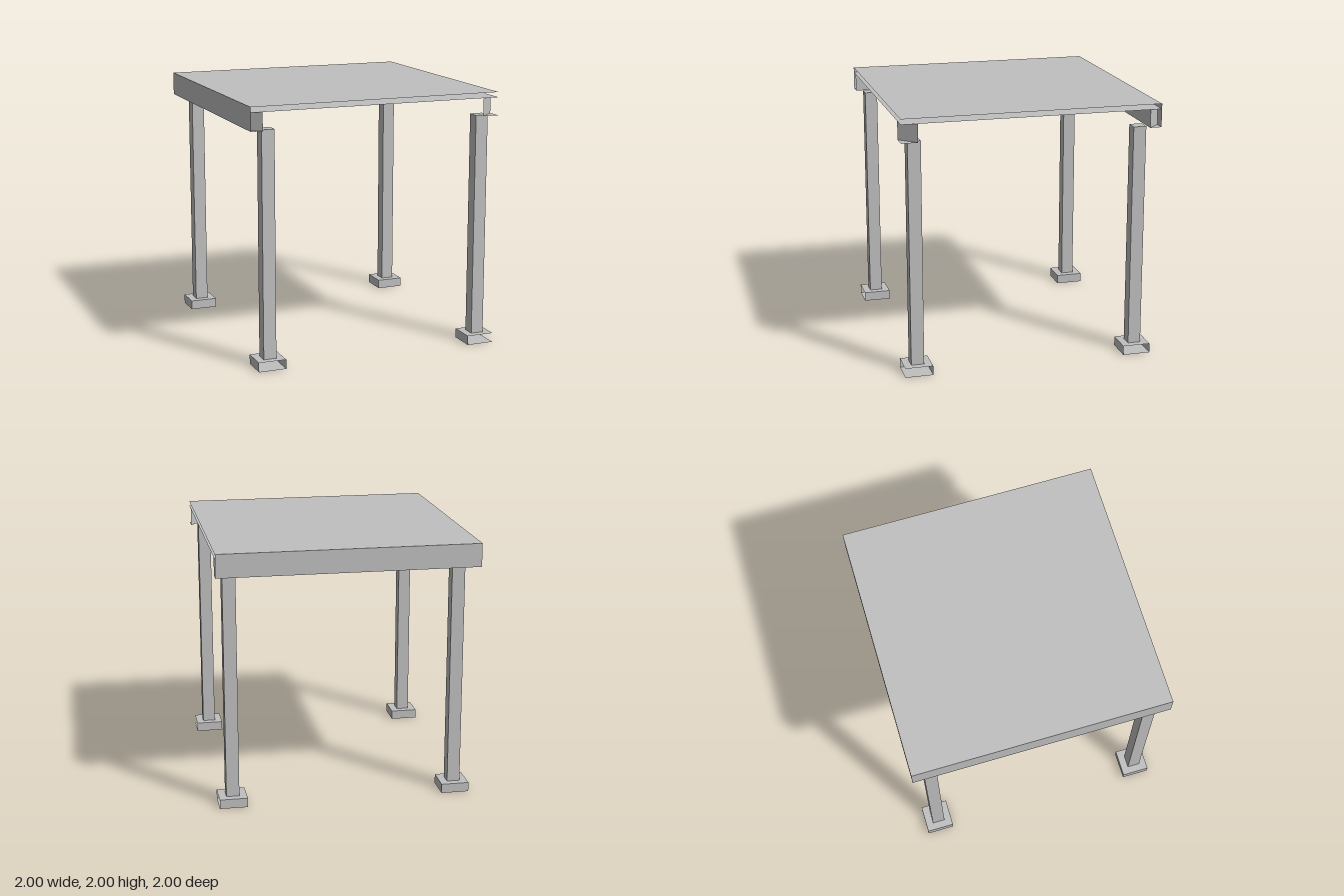
import * as THREE from 'three';

const grey = new THREE.MeshStandardMaterial({ color: 0xc0c0c0, side: THREE.DoubleSide });
grey.name = 'plain grey';

const SIDES = ['+x', '-x', '+y', '-y', '+z', '-z'];

// Box between two corners, leaving out the listed open sides
function openBox(name, [x0, y0, z0], [x1, y1, z1], open = []) {
  const geo = new THREE.BoxGeometry(x1 - x0, y1 - y0, z1 - z0);
  geo.translate((x0 + x1) / 2, (y0 + y1) / 2, (z0 + z1) / 2);
  const index = Array.from(geo.index.array);
  geo.setIndex(SIDES.flatMap((s, i) => (open.includes(s) ? [] : index.slice(i * 6, i * 6 + 6))));
  geo.clearGroups();
  const mesh = new THREE.Mesh(geo, grey);
  mesh.name = name;
  return mesh;
}

// Upright panel standing between two floor points
function panel(name, [ax, az], [bx, bz], y0, y1) {
  const geo = new THREE.PlaneGeometry(Math.hypot(bx - ax, bz - az), y1 - y0);
  geo.rotateY(-Math.atan2(bz - az, bx - ax));
  geo.translate((ax + bx) / 2, (y0 + y1) / 2, (az + bz) / 2);
  const mesh = new THREE.Mesh(geo, grey);
  mesh.name = name;
  return mesh;
}

export function createModel() {
  const group = new THREE.Group();
  group.name = 'canopy';
  const under = 1.82, slab = 1.96, inner = -0.91, cut = 0.873;

  // Roof slab, open along the front and left edges
  group.add(openBox('roofSlab', [-1, slab, -1], [1, 2, 1], ['+x', '+z']));

  // Hollow beams along the two closed edges
  group.add(openBox('sideBeam', [-1, under, -1], [inner, slab, 1], ['+z', '+y']));
  group.add(openBox('backBeam', [inner, under, -1], [1, slab, inner], ['+x', '-x', '+y']));

  // Diagonal mitre panels closing the beam ends and the free corner
  group.add(panel('sideBeamEnd', [-1, -inner], [inner, 1], under, slab));
  group.add(panel('backBeamEnd', [-inner, -1], [1, inner], under, slab));
  group.add(panel('cornerPanel', [cut, 1], [1, cut], under, slab));

  // Triangular underside of the free corner
  const tri = new THREE.Shape([[1, 1], [cut, 1], [1, cut]].map(([x, z]) => new THREE.Vector2(x, z)));
  const corner = new THREE.Mesh(new THREE.ShapeGeometry(tri).rotateX(Math.PI / 2), grey);
  corner.position.y = under;
  corner.name = 'cornerUnderside';
  group.add(corner);

  // Posts on square footings; footings are open where they meet the open edges
  for (const x of [-0.85, 0.892]) {
    for (const z of [-0.85, 0.892]) {
      const open = [];
      if (x > 0) open.push('+x');
      if (z > 0) open.push('+z');
      const f = 0.108, p = 0.05;
      group.add(openBox('footing', [x - f, 0, z - f], [x + f, 0.073, z + f], open));
      group.add(openBox('post', [x - p, 0.073, z - p], [x + p, under, z + p]));
    }
  }
  return group;
}
